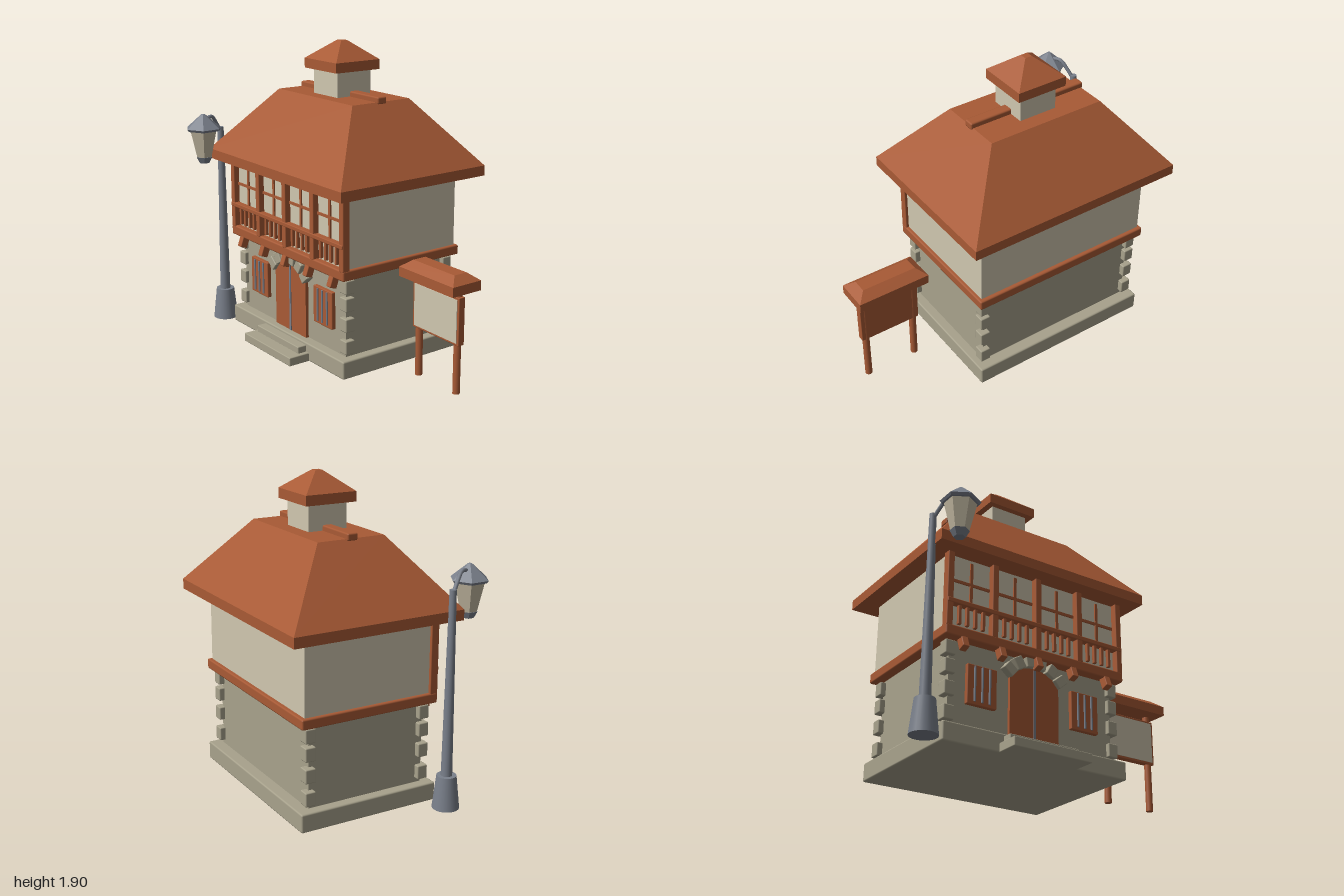
import * as THREE from 'three';
import { RoundedBoxGeometry } from 'three/addons/geometries/RoundedBoxGeometry.js';

const mat = (name, color, flatShading = false) =>
  Object.assign(new THREE.MeshStandardMaterial({ color, flatShading }), { name });

export function createModel() {
  const brown = mat('brown timber and tile', 0xa85a35);
  const cream = mat('cream plaster', 0xd0c7b0);
  const stone = mat('grey stone', 0xa8a28c);
  const iron = mat('iron grey', 0x7a808b);

  const root = new THREE.Group();
  root.name = 'townHouse';
  const house = new THREE.Group();
  house.name = 'house';
  house.position.x = -0.2;
  const sign = new THREE.Group();
  sign.name = 'noticeBoard';
  sign.position.set(0.768, 0, -0.062);
  const lamp = new THREE.Group();
  lamp.name = 'streetLamp';
  lamp.position.set(-0.92, 0, 0.35);
  root.add(house, sign, lamp);

  const add = (parent, name, geo, material, x = 0, y = 0, z = 0) => {
    const m = new THREE.Mesh(geo, material);
    m.name = name;
    m.position.set(x, y, z);
    parent.add(m);
    return m;
  };
  // Box from its extents, optionally with softened edges
  const box = (parent, name, material, [x0, x1], [y0, y1], [z0, z1], round = 0) => {
    const s = [x1 - x0, y1 - y0, z1 - z0];
    const geo = round ? new RoundedBoxGeometry(...s, 1, round) : new THREE.BoxGeometry(...s);
    return add(parent, name, geo, material, (x0 + x1) / 2, (y0 + y1) / 2, (z0 + z1) / 2);
  };
  // Hipped block: a box whose top is shrunk to w1 x d1
  const hip = (parent, name, w0, d0, w1, d1, y0, y1, z) => {
    const geo = new THREE.BoxGeometry(w0, y1 - y0, d0).toNonIndexed();
    const p = geo.attributes.position;
    for (let i = 0; i < p.count; i++) {
      if (p.getY(i) > 0) {
        p.setX(i, Math.sign(p.getX(i)) * w1 / 2);
        p.setZ(i, Math.sign(p.getZ(i)) * d1 / 2);
      }
    }
    geo.computeVertexNormals();
    return add(parent, name, geo, brown, 0, (y0 + y1) / 2, z);
  };

  // Plinth, steps and walls (house coordinates are centred on x)
  box(house, 'plinth', stone, [-0.61, 0.61], [0, 0.112], [-0.54, 0.35], 0.01);
  box(house, 'lowerStep', stone, [-0.257, 0.257], [0, 0.055], [0.3, 0.49], 0.006);
  box(house, 'upperStep', stone, [-0.23, 0.23], [0.05, 0.097], [0.3, 0.41], 0.006);
  box(house, 'groundFloorWall', stone, [-0.55, 0.55], [0.1, 0.61], [-0.465, 0.285]);
  box(house, 'floorBeam', brown, [-0.61, 0.61], [0.605, 0.668], [-0.535, 0.35], 0.01);
  box(house, 'upperWall', cream, [-0.59, 0.59], [0.66, 1.13], [-0.51, 0.31]);

  // Corner stones
  for (const sx of [-1, 1]) for (const z of [0.278, -0.467])
    [0.18, 0.318, 0.445, 0.553].forEach((y) =>
      add(house, 'cornerStone', new RoundedBoxGeometry(0.066, 0.084, 0.066, 1, 0.007), stone, sx * 0.552, y, z));

  // Door with a low arched top and its ring of stones
  const d = new THREE.Shape();
  d.moveTo(-0.165, 0.1);
  d.lineTo(0.165, 0.1);
  d.lineTo(0.165, 0.49);
  d.quadraticCurveTo(0, 0.62, -0.165, 0.49);
  add(house, 'door', new THREE.ExtrudeGeometry(d, { depth: 0.03, bevelEnabled: false, curveSegments: 8 }),
    brown, 0, 0, 0.275);
  box(house, 'doorGap', iron, [-0.008, 0.008], [0.112, 0.55], [0.303, 0.31]);
  for (const a of [40, 60, 80, 100, 120, 140]) {
    const t = THREE.MathUtils.degToRad(a);
    const s = add(house, 'archStone', new RoundedBoxGeometry(0.06, 0.074, 0.06, 1, 0.006), stone,
      0.223 * Math.cos(t), 0.37 + 0.223 * Math.sin(t), 0.3);
    s.rotation.z = t - Math.PI / 2;
  }

  // Barred lower windows
  for (const sx of [-1, 1]) {
    const x = sx * 0.348;
    box(house, 'shutter', brown, [x - 0.095, x + 0.095], [0.252, 0.485], [0.275, 0.31], 0.005);
    for (const o of [-0.048, 0, 0.048])
      add(house, 'windowBar', new THREE.CylinderGeometry(0.007, 0.007, 0.205, 8), iron, x + o, 0.373, 0.312);
  }

  // Timber front: posts, rails, brackets
  for (let i = -2; i <= 2; i++) {
    box(house, 'post', brown, [i * 0.294 - 0.02, i * 0.294 + 0.02], [0.66, 1.13], [0.3, 0.35], 0.005);
    const b = add(house, 'bracket', new RoundedBoxGeometry(0.042, 0.08, 0.05, 1, 0.005), brown, i * 0.245, 0.58, 0.335);
    b.rotation.x = -0.35;
  }
  box(house, 'rail', brown, [-0.605, 0.605], [0.798, 0.825], [0.305, 0.355], 0.005);

  // Bays: window pane, cross bars and balusters
  for (const i of [-1.5, -0.5, 0.5, 1.5]) {
    const x = i * 0.294;
    box(house, 'windowPane', cream, [x - 0.12, x + 0.12], [0.825, 1.085], [0.309, 0.316]);
    box(house, 'mullion', brown, [x - 0.009, x + 0.009], [0.825, 1.085], [0.312, 0.325]);
    box(house, 'transom', brown, [x - 0.12, x + 0.12], [0.942, 0.958], [0.312, 0.325]);
    for (const o of [-0.077, -0.026, 0.026, 0.077])
      box(house, 'baluster', brown, [x + o - 0.01, x + o + 0.01], [0.685, 0.805], [0.318, 0.34], 0.004);
  }

  // Main roof, ridge and chimney
  box(house, 'eaves', brown, [-0.71, 0.71], [1.11, 1.172], [-0.638, 0.44]);
  hip(house, 'mainRoof', 1.42, 1.078, 0.765, 0.425, 1.172, 1.57, -0.099);
  box(house, 'ridgeCap', brown, [-0.397, 0.397], [1.558, 1.602], [-0.13, -0.064], 0.01);
  box(house, 'chimney', cream, [-0.123, 0.123], [1.56, 1.74], [-0.22, 0.028]);
  box(house, 'chimneyEaves', brown, [-0.163, 0.163], [1.725, 1.785], [-0.258, 0.067]);
  hip(house, 'chimneyRoof', 0.326, 0.325, 0.045, 0.045, 1.785, 1.897, -0.096);

  // Notice board
  for (const sx of [-1, 1])
    add(sign, 'signPost', new THREE.CylinderGeometry(0.022, 0.022, 0.63, 12), brown, sx * 0.164, 0.315, 0);
  box(sign, 'board', brown, [-0.197, 0.197], [0.3, 0.587], [-0.02, 0.024], 0.004);
  box(sign, 'boardPanel', cream, [-0.182, 0.182], [0.314, 0.573], [0.021, 0.028]);
  box(sign, 'signEaves', brown, [-0.231, 0.231], [0.618, 0.676], [-0.104, 0.104]);
  hip(sign, 'signRoof', 0.462, 0.208, 0.35, 0.09, 0.676, 0.72, 0);

  // Street lamp: foot, pole and bent arm
  add(lamp, 'lampFoot', new THREE.CylinderGeometry(0.058, 0.08, 0.2, 24), iron, 0, 0.1, 0);
  add(lamp, 'lampPole', new THREE.CylinderGeometry(0.02, 0.033, 1.1, 20), iron, 0, 0.75, 0);
  const arm = new THREE.CatmullRomCurve3([
    new THREE.Vector3(0, 1.27, 0), new THREE.Vector3(0.02, 1.33, 0.04),
    new THREE.Vector3(0.045, 1.385, 0.09), new THREE.Vector3(0.075, 1.37, 0.165)]);
  add(lamp, 'lampArm', new THREE.TubeGeometry(arm, 12, 0.012, 8), iron);

  // Six-sided lantern
  const ironFlat = iron.clone();
  ironFlat.flatShading = true;
  ironFlat.name = 'iron grey faceted';
  const glass = mat('lantern glass', 0xc6bca4, true);
  const tier = (name, r1, r0, y0, y1, m) =>
    add(lamp, name, new THREE.CylinderGeometry(r1, r0, y1 - y0, 6), m, 0.076, (y0 + y1) / 2, 0.168);
  tier('lanternRoof', 0.012, 0.115, 1.325, 1.413, ironFlat);
  tier('lanternRim', 0.115, 0.105, 1.31, 1.325, ironFlat);
  tier('lanternGlass', 0.092, 0.052, 1.14, 1.31, glass);
  tier('lanternBase', 0.056, 0.034, 1.1, 1.14, ironFlat);

  return root;
}
